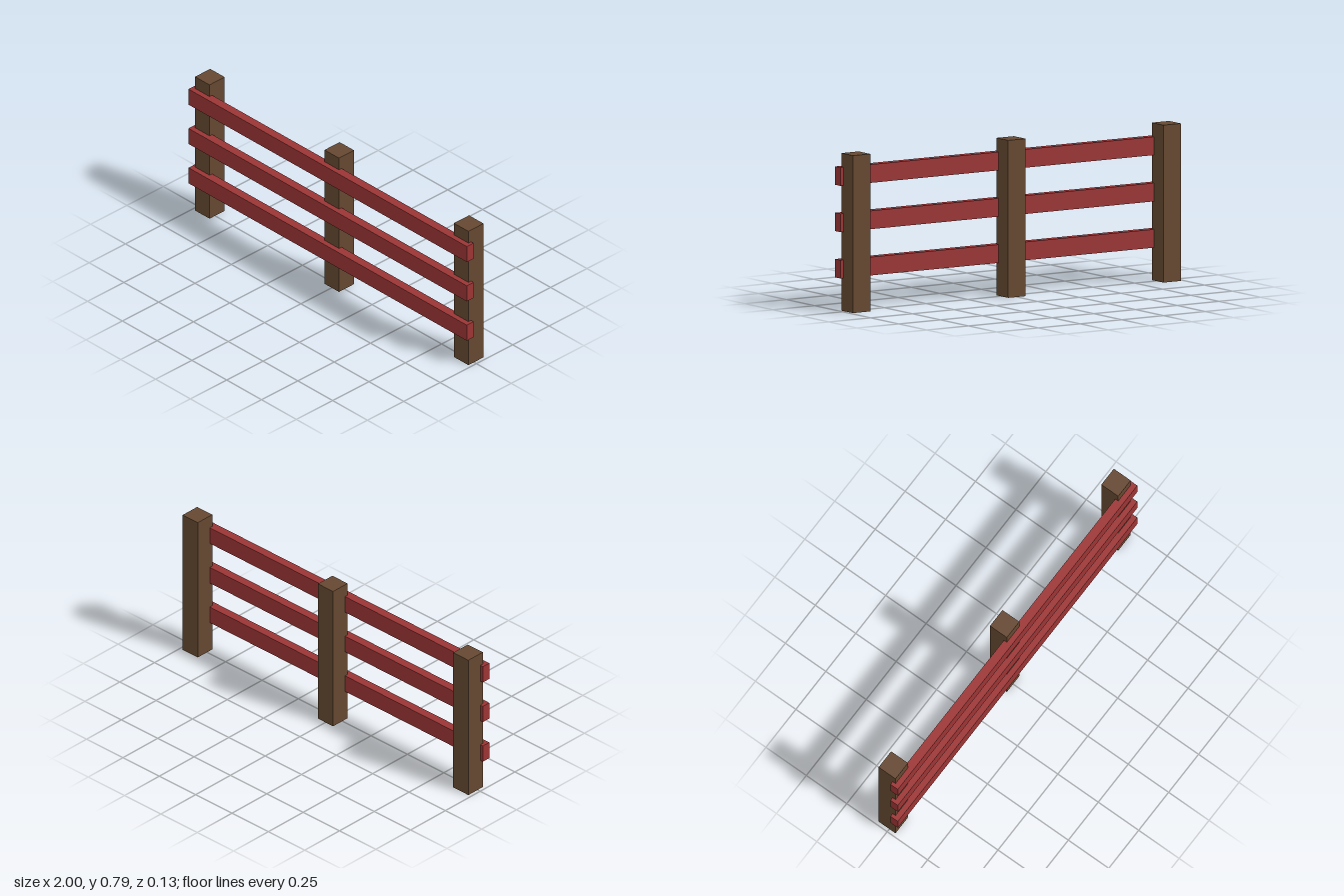
import * as THREE from 'three';

const WOOD = new THREE.MeshStandardMaterial({ color: 0x654831 });
const RED = new THREE.MeshStandardMaterial({ color: 0x9c3535 });

export function createModel() {
  const fence = new THREE.Group();
  fence.name = 'fence';

  const addBox = (name, material, size, position) => {
    const mesh = new THREE.Mesh(new THREE.BoxGeometry(...size), material);
    mesh.name = name;
    mesh.position.set(...position);
    fence.add(mesh);
  };

  // Square posts standing on the ground
  const postHeight = 0.791;
  [['rightPost', -0.93], ['middlePost', 0], ['leftPost', 0.93]].forEach(([name, x]) =>
    addBox(name, WOOD, [0.104, postHeight, 0.104], [x, postHeight / 2, -0.014]));

  // Horizontal rails, partly let into the front of the posts
  [['lowerRail', 0.211], ['middleRail', 0.4435], ['upperRail', 0.676]].forEach(([name, y]) =>
    addBox(name, RED, [2, 0.092, 0.046], [0, y, 0.043]));

  return fence;
}
